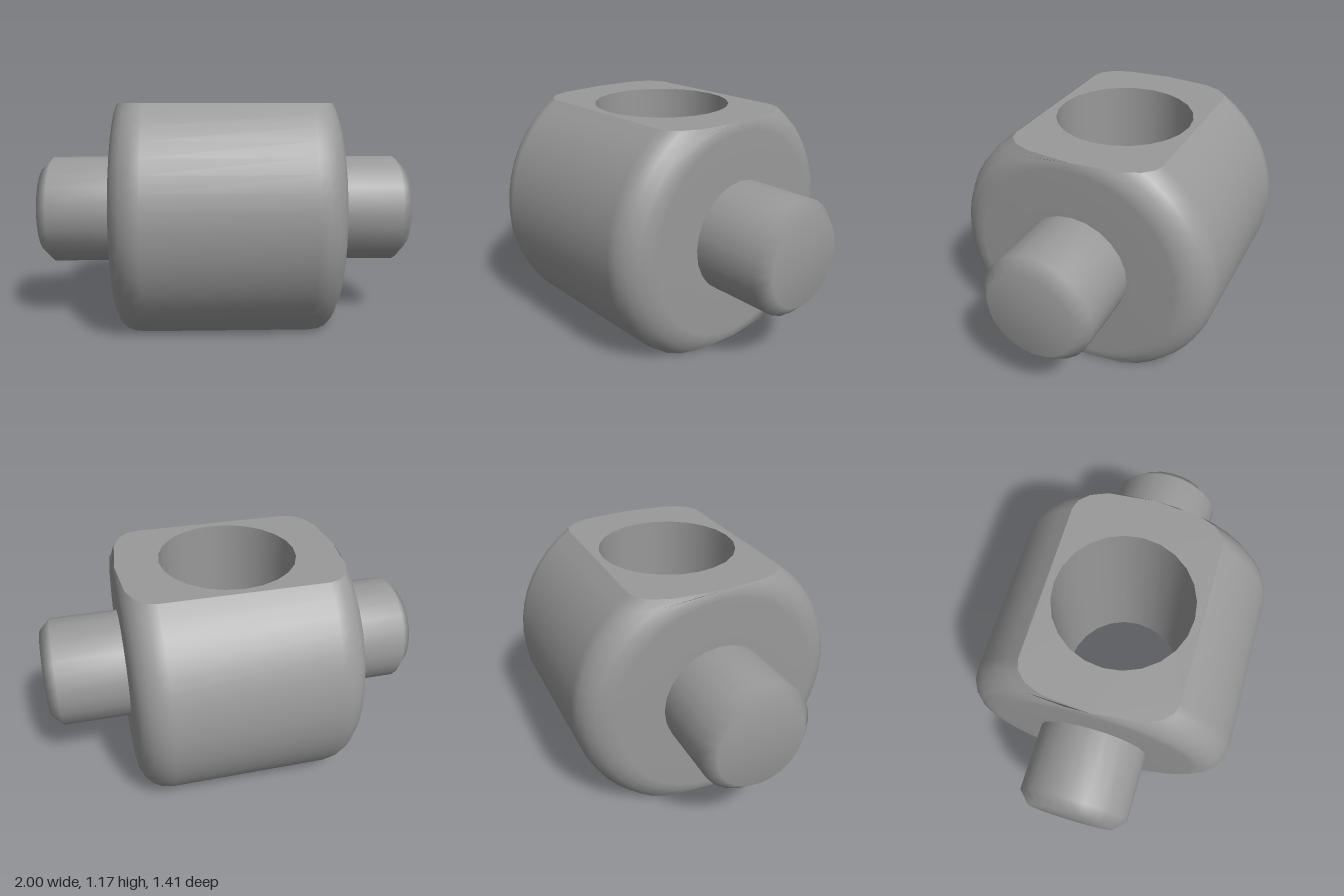
import * as THREE from 'three';
import { mergeVertices } from 'three/addons/utils/BufferGeometryUtils.js';

const H = 0.585;      // half height between the flats, also half width of the body
const R = 0.705;      // barrel radius
const FILLET = 0.165; // rounding of the barrel rims
const BORE = 0.355;   // radius of the vertical hole

// Half profile of the barrel along x: [x, radius], from the middle to the end centre
function rimProfile() {
  const flatEnd = Math.asin((H - (R - FILLET)) / FILLET);
  const angles = [Math.PI / 2, 1.245, 0.92, 0.6, flatEnd, 0];
  const pts = angles.map((t) => [H - FILLET + FILLET * Math.cos(t), R - FILLET + FILLET * Math.sin(t)]);
  pts[4][1] = H; // the flats end exactly here
  return pts;
}

// Barrel about x, with the top and bottom sliced away at the flats
function barrelGeometry(rim) {
  const right = [...rim, [H, 0.3], [H, 0]];
  const left = right.map(([x, r]) => [-x, r]).reverse();
  const profile = [...left, ...right];
  const n = 16, pos = [], index = [];
  for (const base of [0, Math.PI]) {
    const start = pos.length / 3;
    profile.forEach(([x, r], i) => {
      const a = r > H ? Math.asin(H / r) : Math.PI / 2;
      for (let j = 0; j <= n; j++) {
        const t = base + a * (2 * j / n - 1);
        pos.push(x, r * Math.sin(t), r * Math.cos(t));
        if (i < profile.length - 1 && j < n) {
          const p = start + i * (n + 1) + j, q = p + n + 1;
          index.push(p, q, q + 1, p, q + 1, p + 1);
        }
      }
    });
  }
  let geo = new THREE.BufferGeometry();
  geo.setAttribute('position', new THREE.Float32BufferAttribute(pos, 3));
  geo.setIndex(index);
  geo = mergeVertices(geo);
  geo.computeVertexNormals();
  return geo;
}

// Flat face with the round hole in it
function flatGeometry(rim) {
  const edge = rim.filter(([, r]) => r >= H).map(([x, r]) => [x, Math.sqrt(r * r - H * H)]);
  const back = [...edge].reverse().slice(1);
  const outline = [
    ...edge.map(([x, z]) => [-x, -z]).reverse(),
    ...edge.map(([x, z]) => [x, -z]),
    ...back,
    ...edge.slice(0, -1).map(([x, z]) => [-x, z]),
  ].map(([x, z]) => new THREE.Vector2(x, z));
  const shape = new THREE.Shape(outline);
  shape.holes.push(new THREE.Path().absarc(0, 0, BORE, 0, Math.PI * 2, true));
  return new THREE.ShapeGeometry(shape, 12);
}

export function createModel() {
  const model = new THREE.Group();
  model.name = 'trunnionBlock';
  const steel = new THREE.MeshStandardMaterial({ color: 0x999999, side: THREE.DoubleSide });
  steel.name = 'grey steel';
  const add = (name, geo) => {
    const mesh = new THREE.Mesh(geo, steel);
    mesh.name = name;
    mesh.position.y = H;
    model.add(mesh);
    return mesh;
  };

  // Body
  const rim = rimProfile();
  add('barrel', barrelGeometry(rim));
  add('topFlat', flatGeometry(rim).rotateX(-Math.PI / 2).translate(0, H, 0));
  add('bottomFlat', flatGeometry(rim).rotateX(Math.PI / 2).translate(0, -H, 0));

  // Hole wall, running top to bottom so that it faces inwards
  add('bore', new THREE.LatheGeometry([new THREE.Vector2(BORE, H), new THREE.Vector2(BORE, -H)], 24));

  // Chamfered pins on both sides
  const pinProfile = [[0.29, 0.57], [0.29, 0.94], [0.23, 1], [0, 1]].map(([r, y]) => new THREE.Vector2(r, y));
  for (const [name, side] of [['leftPin', 1], ['rightPin', -1]]) {
    add(name, new THREE.LatheGeometry(pinProfile, 24).rotateZ(-side * Math.PI / 2));
  }
  return model;
}
